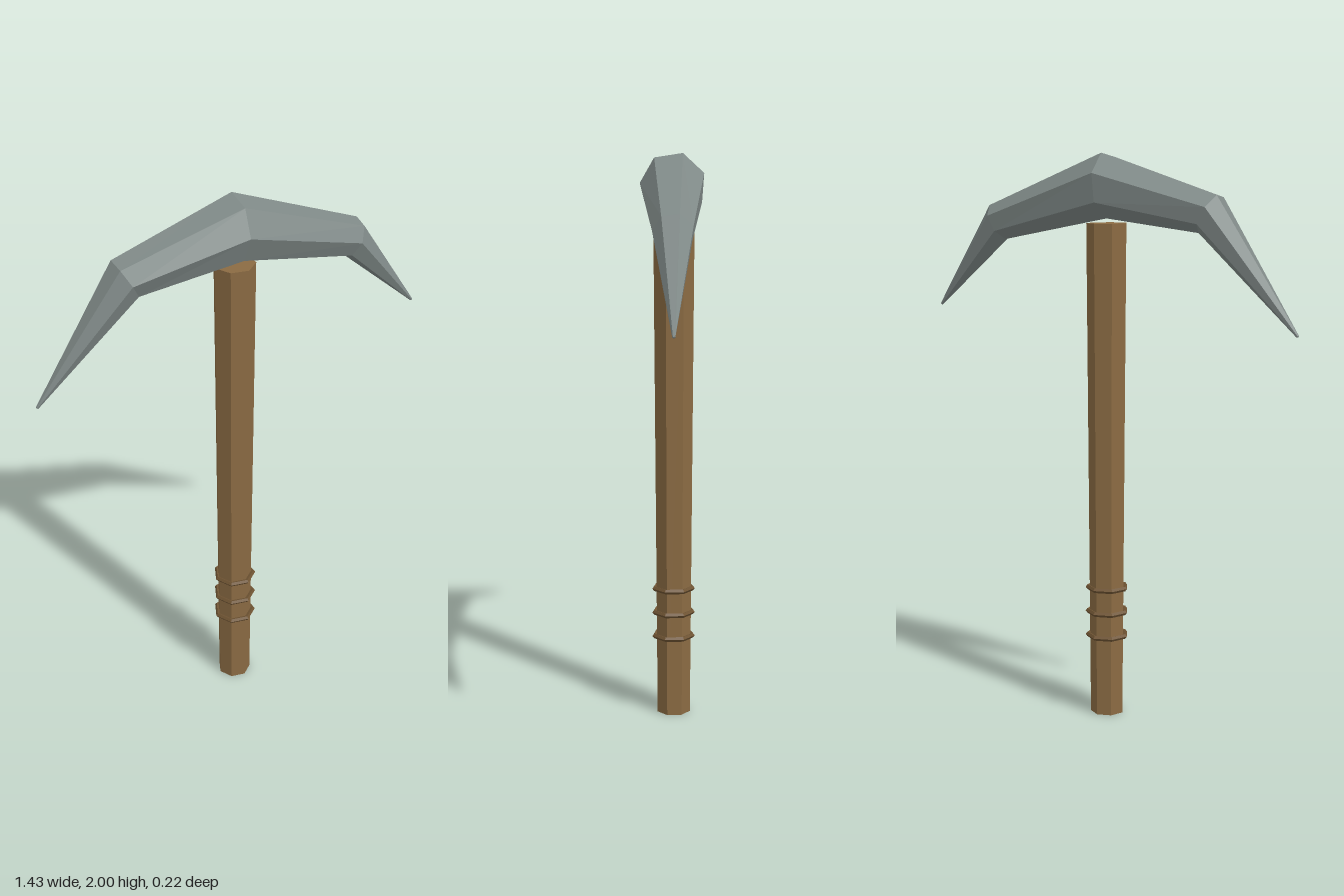
import * as THREE from 'three';

const SIDES = 7;
const STEP = (Math.PI * 2) / SIDES;
const TURN = THREE.MathUtils.degToRad(16);

// Curved head: heptagon sections, each tilted in the xy plane and joined in loops
function headGeometry() {
  // x, y, radius, tilt of the section
  const stations = [
    [-0.712, 1.402, 0, 0.88],
    [-0.71, 1.404, 0.005, 0.88],
    [-0.386, 1.799, 0.075, 0.51],
    [0.007, 1.89, 0.115, -0.05],
    [0.45, 1.756, 0.069, -0.46],
    [0.708, 1.45, 0.005, -0.87],
    [0.71, 1.448, 0, -0.87],
  ];
  const positions = [];
  const index = [];
  for (const [x, y, r, tilt] of stations) {
    for (let j = 0; j < SIDES; j++) {
      const a = j * STEP - THREE.MathUtils.degToRad(17);
      const up = r * Math.cos(a);
      positions.push(x - up * Math.sin(tilt), y + up * Math.cos(tilt), r * Math.sin(a) - 0.003);
    }
  }
  for (let i = 0; i < stations.length - 1; i++) {
    for (let j = 0; j < SIDES; j++) {
      const a = i * SIDES + j;
      const b = i * SIDES + ((j + 1) % SIDES);
      if (stations[i][2] > 0) index.push(a, b, a + SIDES);
      if (stations[i + 1][2] > 0) index.push(b, b + SIDES, a + SIDES);
    }
  }
  const geometry = new THREE.BufferGeometry();
  geometry.setAttribute('position', new THREE.Float32BufferAttribute(positions, 3));
  geometry.setIndex(index);
  // separate faces give each facet its own normal
  const flat = geometry.toNonIndexed();
  flat.computeVertexNormals();
  return flat;
}

function material(name, color) {
  const m = new THREE.MeshStandardMaterial({ color, flatShading: true });
  m.name = name;
  return m;
}

export function createModel() {
  const steel = material('steel', 0x808a88);
  const wood = material('wood', 0x8b6b43);
  const cord = material('cord', 0x6f5433);

  const model = new THREE.Group();
  model.name = 'pickaxe';
  const add = (name, geometry, mat, x, y, z) => {
    const mesh = new THREE.Mesh(geometry, mat);
    mesh.name = name;
    mesh.position.set(x, y, z);
    model.add(mesh);
    return mesh;
  };

  add('head', headGeometry(), steel, 0, 0, 0);

  // Handle widens towards the top
  const length = 1.76;
  const shaft = new THREE.CylinderGeometry(0.073, 0.06, length, SIDES, 1, false, TURN);
  add('handle', shaft, wood, 0.006, length / 2, -0.005);

  // Grip rings, corners lined up with the handle
  const ring = new THREE.TorusGeometry(0.069, 0.009, 5, SIDES);
  ring.rotateX(Math.PI / 2);
  ring.rotateY(TURN - Math.PI / 2);
  [0.287, 0.375, 0.463].forEach((y, i) => add(`gripRing${i + 1}`, ring, cord, 0.007, y, -0.004));

  return model;
}
